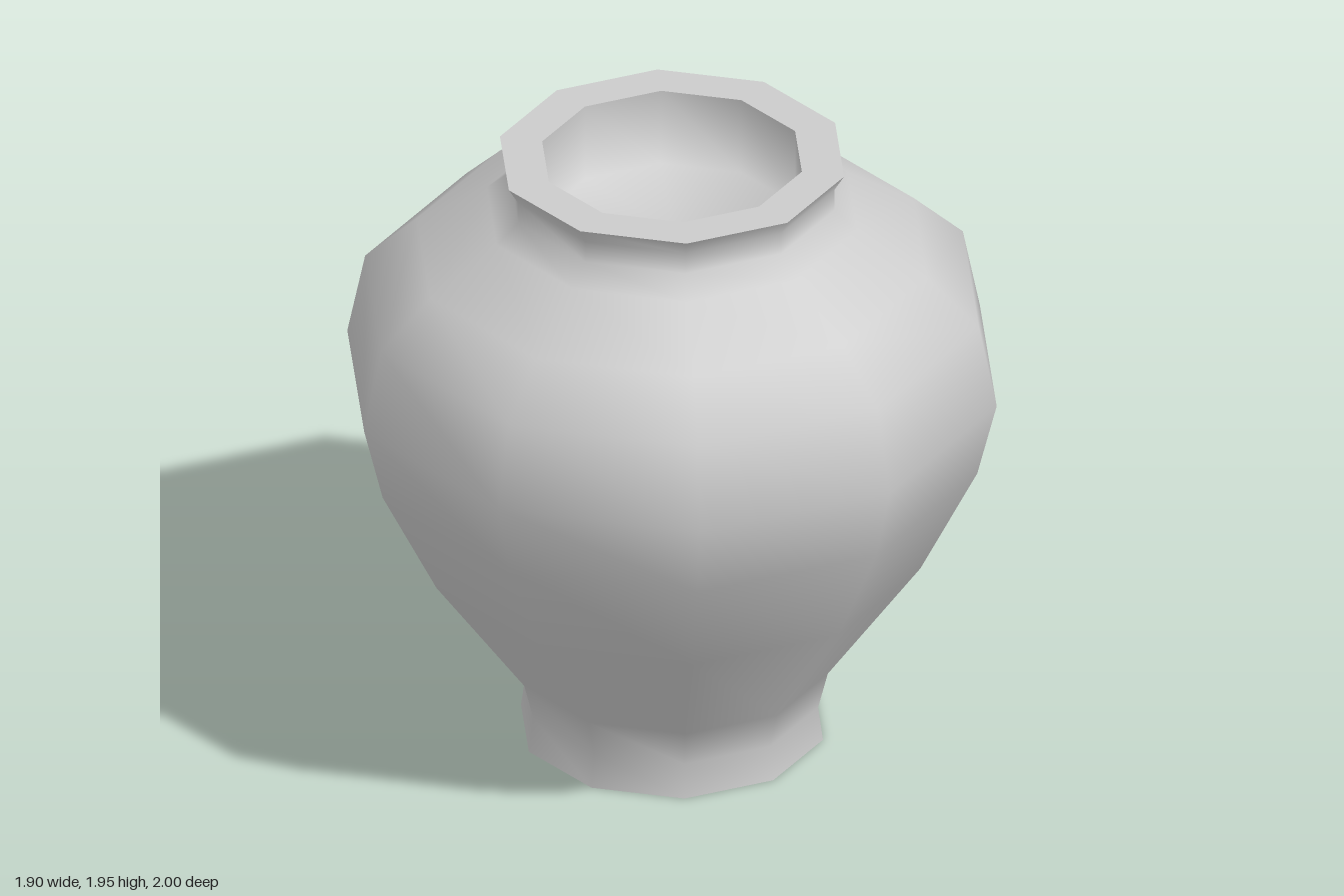
import * as THREE from 'three';

const SIDES = 10;

export function createModel() {
  const vase = new THREE.Group();
  vase.name = 'vase';
  const material = new THREE.MeshStandardMaterial({ color: 0xcccccc });

  // Each part is a ten-sided lathe; separate parts keep sharp edges between them
  const addLathe = (name, profile) => {
    const points = profile.map(([r, y]) => new THREE.Vector2(r, y));
    const mesh = new THREE.Mesh(new THREE.LatheGeometry(points, SIDES), material);
    mesh.name = name;
    vase.add(mesh);
  };

  // Flat underside
  addLathe('base', [[0, 0], [0.465, 0]]);

  // Foot, belly, shoulder and flared neck
  addLathe('body', [
    [0.465, 0], [0.45, 0.11], [0.48, 0.23], [0.765, 0.63],
    [0.94, 0.98], [1, 1.22], [0.945, 1.485], [0.785, 1.635],
    [0.57, 1.77], [0.5, 1.83], [0.5, 1.9], [0.53, 1.95],
  ]);

  // Flat lip around the opening
  addLathe('rim', [[0.53, 1.95], [0.4, 1.95]]);

  // Recessed opening with smoothly shaded floor
  addLathe('mouth', [[0.4, 1.95], [0.4, 1.7], [0, 1.7]]);

  return vase;
}
